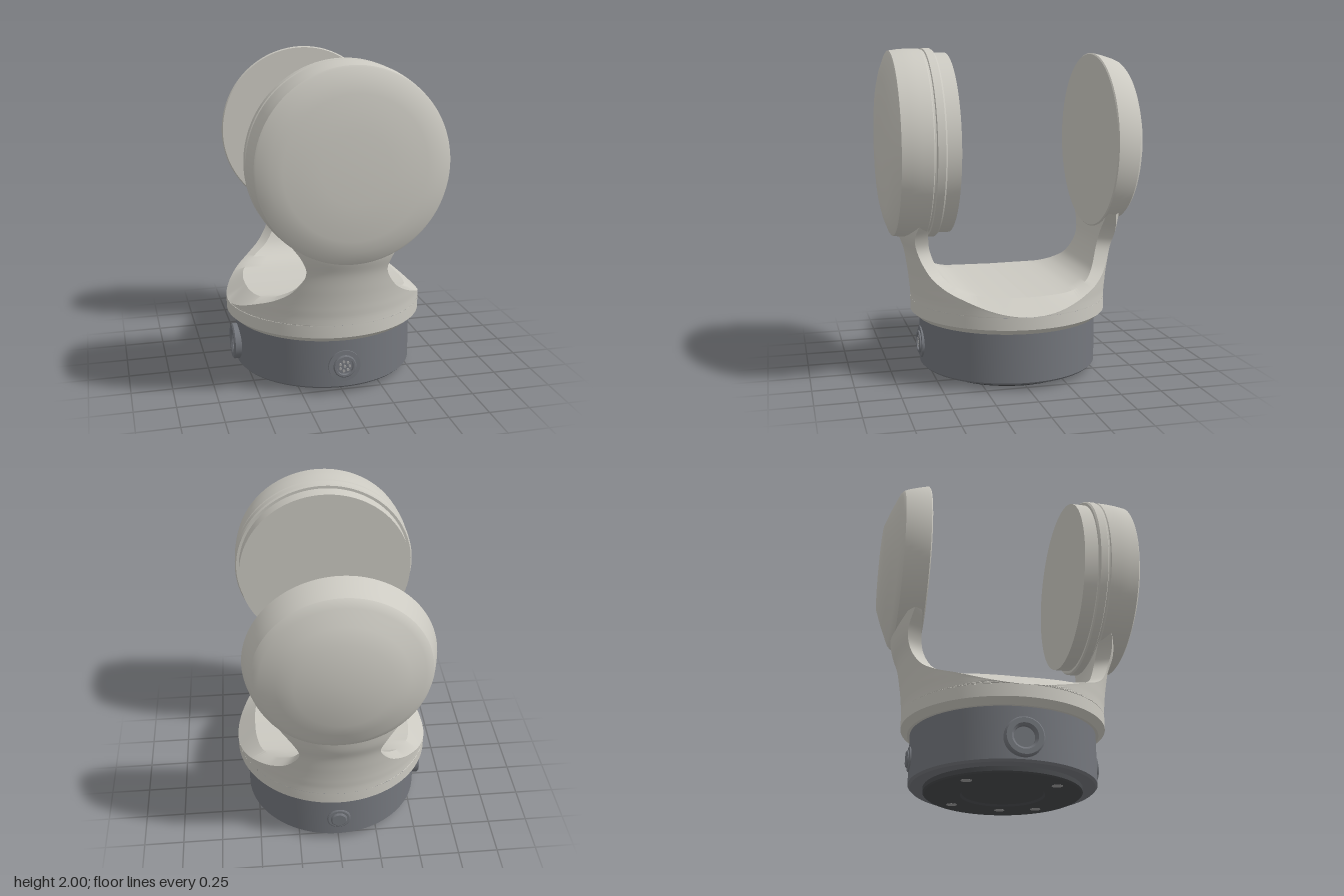
import * as THREE from 'three';
import { toCreasedNormals } from 'three/addons/utils/BufferGeometryUtils.js';

const shell = new THREE.MeshStandardMaterial({ color: 0xcccac2, side: THREE.DoubleSide });
const dark = new THREE.MeshStandardMaterial({ color: 0x74777d });
const black = new THREE.MeshStandardMaterial({ color: 0x484a4d });
const metal = new THREE.MeshStandardMaterial({ color: 0xa0a0a0 });

function add(parent, name, geometry, material) {
  const mesh = new THREE.Mesh(geometry, material);
  mesh.name = name;
  parent.add(mesh);
  return mesh;
}

// Turned solid from [radius, height] pairs, listed from low to high
function turned(profile, segments = 96, crease = 0.4) {
  const points = profile.map(([r, h]) => new THREE.Vector2(r, h));
  return toCreasedNormals(new THREE.LatheGeometry(points, segments), crease);
}

// Half of the yoke: [edge y, half width, outer z] and [inner y, inner z, inner half width]
const OUTER = [
  [0.46, 0.615, 0.615], [0.48, 0.59, 0.615], [0.51, 0.55, 0.616], [0.55, 0.49, 0.62], [0.6, 0.4, 0.625],
  [0.67, 0.31, 0.635], [0.78, 0.245, 0.655], [0.88, 0.272, 0.69], [1.0, 0.36, 0.715],
];
const INNER = [
  [0.55, 0, 0.5], [0.553, 0.12, 0.495], [0.56, 0.25, 0.47], [0.575, 0.34, 0.42], [0.61, 0.42, 0.355],
  [0.67, 0.48, 0.27], [0.78, 0.525, 0.21], [0.88, 0.542, 0.235], [1.0, 0.55, 0.33],
];

function yokeHalf(side) {
  const curve = (rows) => new THREE.CatmullRomCurve3(rows.map((r) => new THREE.Vector3(...r)), false, 'catmullrom');
  const outer = curve(OUTER), inner = curve(INNER);
  const R = 0.615, rows = 48, arc = 28, flat = 8, ring = arc + flat + 2;
  const positions = [], index = [];
  for (let i = 0; i <= rows; i++) {
    const o = outer.getPoint(i / rows), n = inner.getPoint(i / rows);
    const half = Math.min(o.y, R);
    const limit = Math.asin(half / R);
    // Rounded outside face, following the circular base
    for (let j = 0; j <= arc; j++) {
      const a = limit * (2 * j / arc - 1);
      positions.push(R * Math.sin(a), o.x, side * (R * Math.cos(a) + o.z - R));
    }
    // Flat inside face
    for (let j = 0; j <= flat; j++) {
      positions.push(n.z * (1 - 2 * j / flat), n.x, side * n.y);
    }
  }
  for (let i = 0; i < rows; i++) {
    for (let j = 0; j < ring; j++) {
      const k = (j + 1) % ring;
      const a = i * ring + j, b = i * ring + k, c = b + ring, d = a + ring;
      if (side > 0) index.push(a, b, c, a, c, d);
      else index.push(a, c, b, a, d, c);
    }
  }
  const geometry = new THREE.BufferGeometry();
  geometry.setAttribute('position', new THREE.Float32BufferAttribute(positions, 3));
  geometry.setIndex(index);
  return toCreasedNormals(geometry, 0.5);
}

// Group on the side wall of the base, its local +z pointing outward
function port(parent, name, angle, y) {
  const group = new THREE.Group();
  group.name = name;
  group.rotation.y = angle;
  group.position.set(0.56 * Math.sin(angle), y, 0.56 * Math.cos(angle));
  parent.add(group);
  return group;
}

export function createModel() {
  const model = new THREE.Group();
  model.name = 'twoHeadedYokeDevice';

  // Yoke with two arms on a round collar
  add(model, 'collar', turned([[0, 0.35], [0.575, 0.35], [0.615, 0.385], [0.615, 0.46]]), shell);
  add(model, 'frontArm', yokeHalf(1), shell);
  add(model, 'backArm', yokeHalf(-1), shell);

  // Heads, turned about the z axis
  const headY = 1.43;
  const head = (name, profile) => {
    const mesh = add(model, name, turned(profile, 112).rotateX(Math.PI / 2), shell);
    mesh.position.y = headY;
  };
  head('frontHead', [
    [0, 0.48], [0.565, 0.48], [0.573, 0.49], [0.573, 0.535], [0.566, 0.54], [0.566, 0.55], [0.571, 0.556],
    [0.571, 0.62], [0.566, 0.68], [0.558, 0.735], [0.548, 0.742], [0.48, 0.768], [0.41, 0.785], [0.2, 0.796], [0, 0.8],
  ]);
  head('frontPuck', [[0, 0.395], [0.548, 0.395], [0.548, 0.49]]);
  head('backHead', [
    [0, -0.797], [0.275, -0.793], [0.37, -0.758], [0.46, -0.719], [0.488, -0.706], [0.505, -0.69],
    [0.52, -0.655], [0.536, -0.6], [0.547, -0.555], [0.549, -0.542], [0.542, -0.535], [0, -0.535],
  ]);

  // Base drum and foot plate
  add(model, 'baseDrum', turned([[0, 0.035], [0.545, 0.035], [0.558, 0.048], [0.558, 0.355], [0, 0.355]]), dark);
  add(model, 'footPlate', turned([
    [0, 0.012], [0.24, 0.012], [0.25, 0], [0.46, 0], [0.47, 0.008], [0.47, 0.04],
  ]), black);
  const screws = [[0.33, 0.05]];
  for (let i = 0; i < 4; i++) {
    const a = Math.PI / 4 + i * Math.PI / 2;
    screws.push([0.37 * Math.cos(a), 0.37 * Math.sin(a)]);
  }
  screws.forEach(([x, z], i) => {
    const mesh = add(model, 'footScrew', new THREE.CylinderGeometry(0.032, 0.032, 0.01, 20), metal);
    mesh.position.set(x, i ? 0.004 : 0.0045, z);
  });

  // Front socket with pins
  const front = port(model, 'frontSocket', 0, 0.18);
  add(front, 'socketFlange', turned([[0.098, -0.02], [0.098, 0.005], [0.07, 0.006]], 40).rotateX(Math.PI / 2), dark);
  add(front, 'socketRing', turned([
    [0.07, -0.01], [0.07, 0.014], [0.064, 0.018], [0.052, 0.018], [0.05, 0.004], [0, 0.004],
  ], 40).rotateX(Math.PI / 2), dark);
  for (let i = 0; i < 8; i++) {
    const r = i ? 0.03 : 0, a = i * Math.PI * 2 / 7;
    const pin = add(front, 'pin', new THREE.CylinderGeometry(0.008, 0.008, 0.012, 10).rotateX(Math.PI / 2), metal);
    pin.position.set(r * Math.cos(a), r * Math.sin(a), 0.008);
  }

  // Large ring socket on the right side
  const right = port(model, 'rightSocket', -Math.PI / 2, 0.17);
  add(right, 'ringSocket', turned([
    [0.112, -0.03], [0.112, 0.026], [0.104, 0.034], [0.075, 0.034], [0.062, 0.022], [0.06, 0.006], [0, 0.006],
  ], 48).rotateX(Math.PI / 2), dark);

  // Round button at the back
  const back = port(model, 'backButton', Math.PI, 0.185);
  add(back, 'buttonRing', turned([
    [0.075, -0.02], [0.075, 0.002], [0.068, 0.006], [0.052, 0.006],
  ], 40).rotateX(Math.PI / 2), dark);
  add(back, 'buttonCap', turned([[0.052, -0.01], [0.052, 0.012], [0.044, 0.018], [0, 0.018]], 40).rotateX(Math.PI / 2), dark);

  return model;
}
